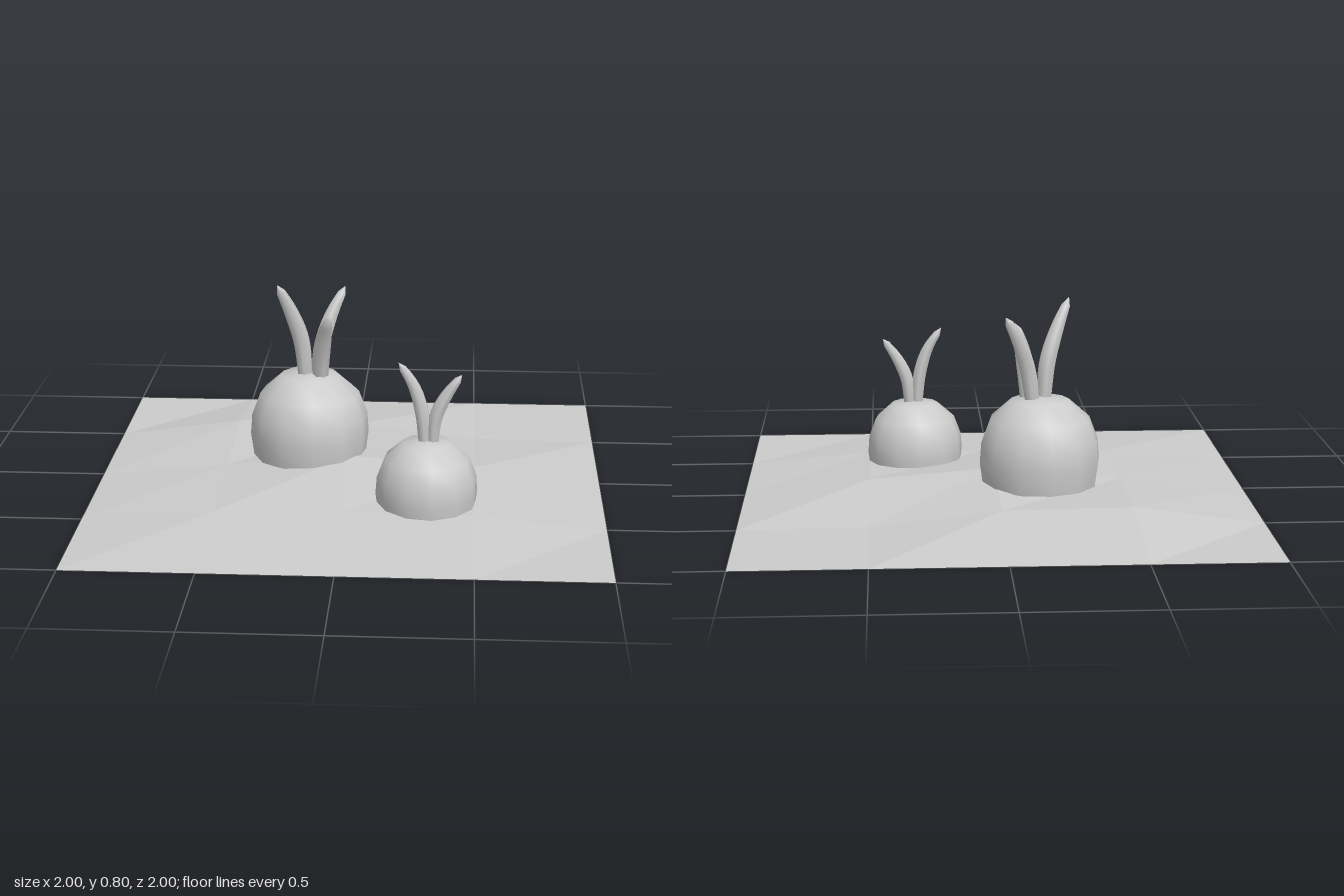
import * as THREE from 'three';
import { toCreasedNormals } from 'three/addons/utils/BufferGeometryUtils.js';

const material = new THREE.MeshStandardMaterial({ color: 0xcccccc, side: THREE.DoubleSide });

function addMesh(parent, name, geometry, creaseAngle) {
  const mesh = new THREE.Mesh(toCreasedNormals(geometry, creaseAngle), material);
  mesh.name = name;
  parent.add(mesh);
  return mesh;
}

// Thin patch of soil: a 4 x 4 grid whose inner corners are raised into a mound
function soilGeometry() {
  const heights = [
    [0.07, 0.062, 0.008], // z = -0.5
    [0.05, 0.1, 0.06],    // z = 0
    [0.04, 0.05, 0.045],  // z = 0.5
  ];
  const g = new THREE.PlaneGeometry(2, 2, 4, 4).rotateX(-Math.PI / 2);
  const p = g.attributes.position;
  for (let i = 0; i < p.count; i++) {
    const col = i % 5, row = Math.floor(i / 5);
    p.setY(i, heights[row - 1]?.[col - 1] ?? 0);
  }
  return g;
}

// Bulb: open below, widest near the soil, rounded over the top
function bulbGeometry() {
  const profile = [
    [0.228, 0], [0.24, 0.09], [0.234, 0.17], [0.2, 0.26], [0.115, 0.335], [0, 0.35],
  ].map(([r, y]) => new THREE.Vector2(r, y));
  return new THREE.LatheGeometry(profile, 12, 0.13);
}

// Leaf stalk: a six-sided tube that swells a little, narrows and closes at the tip
function stalkGeometry(points) {
  const curve = new THREE.CatmullRomCurve3(points.map((p) => new THREE.Vector3(...p)));
  const segments = 12, sides = 6;
  const g = new THREE.TubeGeometry(curve, segments, 1, sides);
  const p = g.attributes.position, v = new THREE.Vector3();
  for (let i = 0; i < p.count; i++) {
    const t = Math.floor(i / (sides + 1)) / segments;
    const centre = curve.getPointAt(t);
    const radius = t === 1 ? 0 : 0.03 + 0.008 * Math.sin(Math.PI * t) - 0.016 * t * t;
    v.fromBufferAttribute(p, i).sub(centre).multiplyScalar(radius).add(centre);
    p.setXYZ(i, v.x, v.y, v.z);
  }
  return g;
}

function createTurnip(name, position, scale, stalks) {
  const turnip = new THREE.Group();
  turnip.name = name;
  addMesh(turnip, 'bulb', bulbGeometry(), 0.9);
  stalks.forEach((points, i) => addMesh(turnip, `leafStalk${i + 1}`, stalkGeometry(points), 1.2));
  turnip.position.set(...position);
  turnip.scale.setScalar(scale);
  return turnip;
}

export function createModel() {
  const model = new THREE.Group();
  model.name = 'turnipPatch';
  addMesh(model, 'soil', soilGeometry(), 0.01);

  // Stalk paths run from the crown of the bulb outwards, in the bulb's own frame
  model.add(createTurnip('largeTurnip', [-0.17, 0.07, -0.115], 1, [
    [[-0.015, 0.32, 0.01], [-0.03, 0.48, 0.02], [-0.07, 0.61, 0.05], [-0.12, 0.727, 0.088]],
    [[0.03, 0.32, -0.015], [0.05, 0.46, -0.025], [0.085, 0.57, -0.055], [0.14, 0.68, -0.095]],
    [[0.045, 0.32, 0.025], [0.05, 0.42, 0.045], [0.065, 0.52, 0.085], [0.088, 0.612, 0.145]],
  ]));
  model.add(createTurnip('smallTurnip', [0.315, 0.015, 0.36], 0.82, [
    [[-0.01, 0.32, 0], [-0.025, 0.48, 0], [-0.065, 0.61, 0], [-0.135, 0.72, 0]],
    [[0.025, 0.32, 0], [0.04, 0.46, 0], [0.085, 0.56, 0], [0.158, 0.665, 0]],
  ]));
  return model;
}
